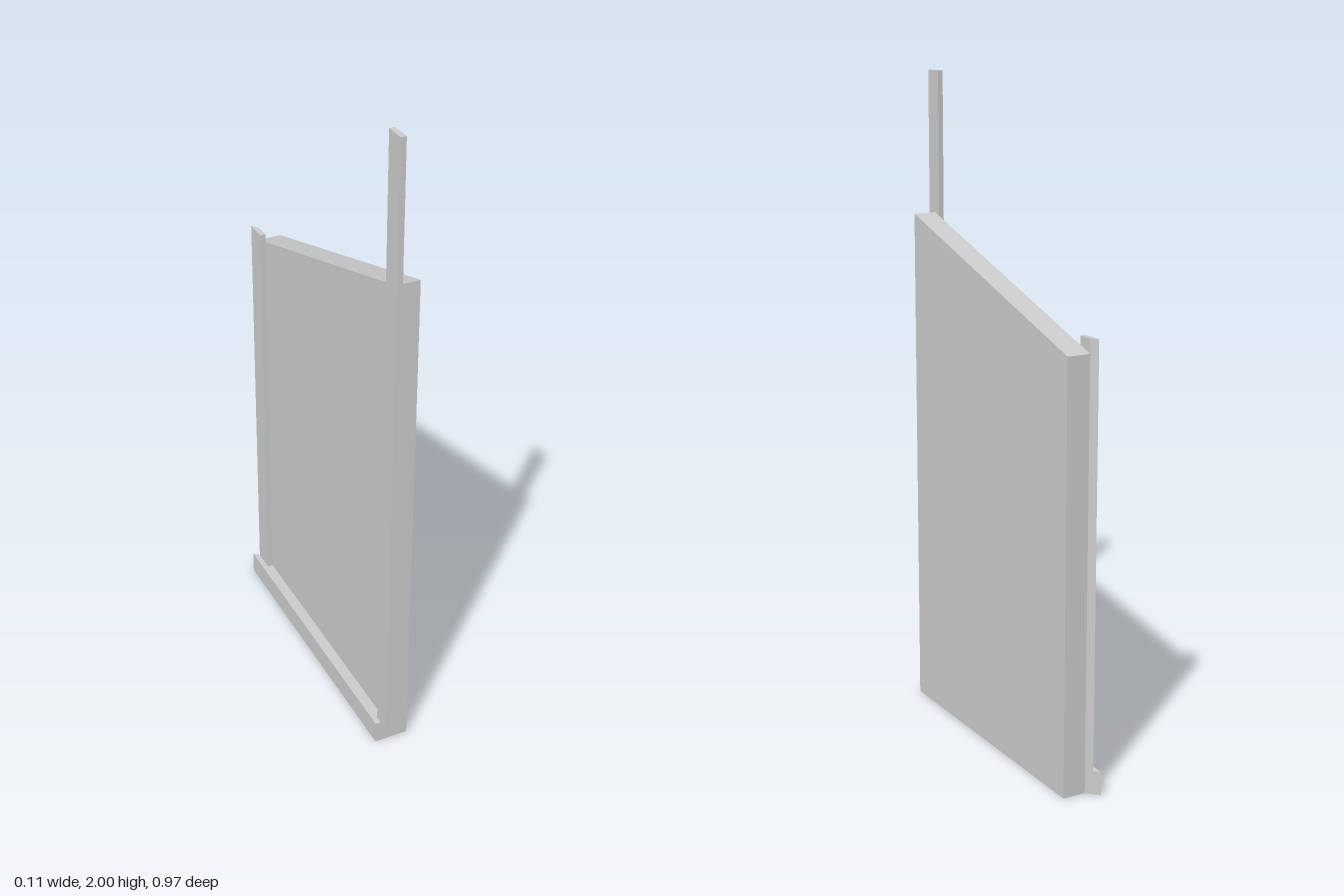
import * as THREE from 'three';

const material = new THREE.MeshStandardMaterial({ color: 0xcccccc, flatShading: true });

// Straight prism from a list of 2D corners
function prism(name, corners, depth) {
  const shape = new THREE.Shape(corners.map(([a, b]) => new THREE.Vector2(a, b)));
  const mesh = new THREE.Mesh(new THREE.ExtrudeGeometry(shape, { depth, bevelEnabled: false }), material);
  mesh.name = name;
  return mesh;
}

// Upright prism from a plan of [x, z] corners, between two heights
function upright(name, plan, bottom, top) {
  const mesh = prism(name, plan.map(([x, z]) => [x, -z]), top - bottom);
  mesh.geometry.rotateX(-Math.PI / 2).translate(0, bottom, 0);
  return mesh;
}

export function createModel() {
  const group = new THREE.Group();
  group.name = 'slopedPanel';

  const inner = -0.019, outer = 0.0526; // panel faces
  const trimX = -0.036, railX = -0.0526; // outer faces of the trims and rail
  const front = 0.447, back = -0.449, railTop = 0.071;

  // Thick panel with a sloping top edge, drawn in z and y
  const panel = prism('panel', [[back, 0], [front, 0], [front, 1.57], [back, 1.286]], outer - inner);
  panel.geometry.rotateY(-Math.PI / 2).translate(outer, 0, 0);

  // Bottom rail, mitred at the back
  const rail = upright('bottomRail',
    [[inner, front], [inner, back], [railX, -0.484], [railX, front]], 0, railTop);

  // Tall front trim, overlapping the panel edge
  const frontTrim = upright('frontTrim',
    [[inner, 0.484], [inner, 0.421], [trimX, 0.423], [trimX, 0.484]], railTop, 2);

  // Short back trim with the same mitre as the rail
  const backTrim = upright('backTrim',
    [[inner, -0.398], [inner, back], [trimX, -0.466], [trimX, -0.398]], railTop, 1.328);

  group.add(panel, rail, frontTrim, backTrim);
  return group;
}
